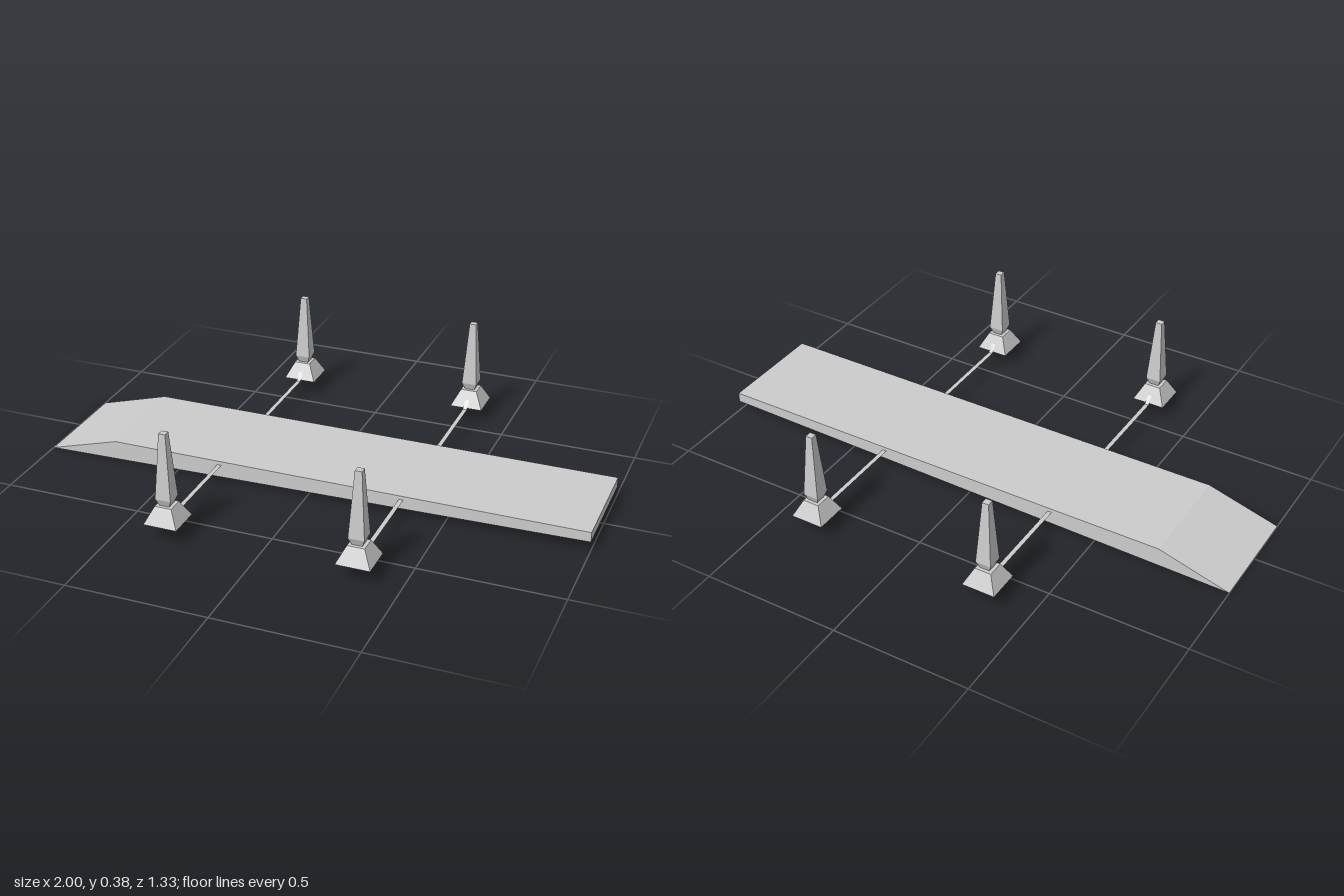
import * as THREE from 'three';

const material = new THREE.MeshStandardMaterial({ color: 0xcccccc, flatShading: true, side: THREE.DoubleSide });

// Thin surface made of four-cornered faces, each given as four [x, y, z] corners.
function sheet(name, quads) {
  const positions = quads.flatMap(([a, b, c, d]) => [a, b, c, a, c, d].flat());
  const geometry = new THREE.BufferGeometry();
  geometry.setAttribute('position', new THREE.Float32BufferAttribute(positions, 3));
  geometry.computeVertexNormals();
  const mesh = new THREE.Mesh(geometry, material);
  mesh.name = name;
  return mesh;
}

// Square tapered body from [half width, height] pairs, bottom to top.
function squareTaper(name, profile) {
  const points = profile.map(([half, y]) => new THREE.Vector2(half * Math.SQRT2, y));
  const mesh = new THREE.Mesh(new THREE.LatheGeometry(points, 4, Math.PI / 4), material);
  mesh.name = name;
  return mesh;
}

// Hollow deck with a ramp at one end, open underneath.
function createDeck() {
  const w = 0.198;
  const toe = (z) => [-1, 0, z];
  const crest = (z) => [-0.74, 0.074, z];
  const top = (z) => [1, 0.074, z];
  const bottom = (z) => [1, 0.038, z];
  return sheet('deck', [
    [toe(w), crest(w), crest(-w), toe(-w)].reverse(),
    [crest(w), top(w), top(-w), crest(-w)],
    [top(w), bottom(w), bottom(-w), top(-w)],
    [toe(w), bottom(w), top(w), crest(w)],
    [toe(-w), crest(-w), top(-w), bottom(-w)],
  ]);
}

// Flat connecting strip with its outer end bent up against the marker base.
function createStrip() {
  const h = 0.008;
  const path = [[0.06, 0.19], [0.06, 0.535], [0.09, 0.56]];
  const quads = [];
  for (let i = 0; i < path.length - 1; i++) {
    const [y0, z0] = path[i];
    const [y1, z1] = path[i + 1];
    quads.push([[-h, y0, z0], [-h, y1, z1], [h, y1, z1], [h, y0, z0]]);
  }
  return sheet('connectingStrip', quads);
}

// One side marker: hollow pyramid base, tapered post and strip.
function createMarker() {
  const marker = new THREE.Group();
  marker.name = 'marker';
  const base = squareTaper('markerBase', [[0.06, 0.061], [0.03, 0.121], [0, 0.121]]);
  const post = squareTaper('markerPost', [[0.018, 0.121], [0.028, 0.147], [0.012, 0.384], [0, 0.384]]);
  base.position.z = post.position.z = 0.605;
  marker.add(base, post, createStrip());
  return marker;
}

export function createModel() {
  const model = new THREE.Group();
  model.name = 'rampDeckWithMarkers';
  model.add(createDeck());
  for (const x of [-0.33, 0.345]) {
    for (const turn of [0, Math.PI]) {
      const marker = createMarker();
      marker.position.x = x;
      marker.rotation.y = turn;
      model.add(marker);
    }
  }
  return model;
}
